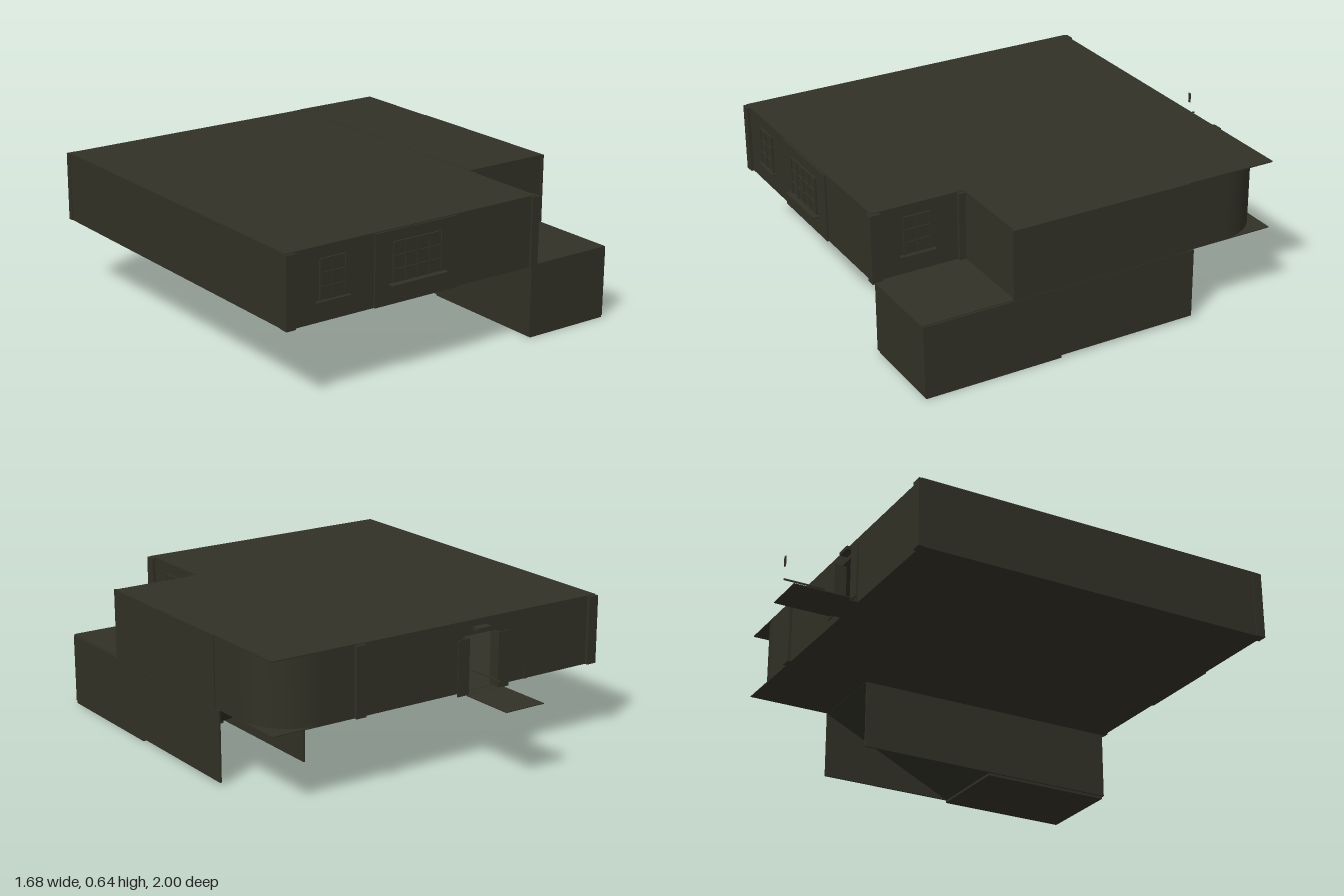
import * as THREE from 'three';

const olive = new THREE.MeshStandardMaterial({ color: 0x323126, side: THREE.DoubleSide });
olive.name = 'darkOlive';

// Box given by its extents
function slab(parent, name, x0, x1, y0, y1, z0, z1) {
  const m = new THREE.Mesh(new THREE.BoxGeometry(x1 - x0, y1 - y0, z1 - z0), olive);
  m.position.set((x0 + x1) / 2, (y0 + y1) / 2, (z0 + z1) / 2);
  m.name = name;
  parent.add(m);
  return m;
}

// Window facing +z, base at the origin, with glazing bars and a sill
function makeWindow(name, w, h, cols, rows, sillDepth) {
  const g = new THREE.Group();
  g.name = name;
  const t = 0.003;
  slab(g, 'pane', -w / 2, w / 2, 0, h, 0, 0.003);
  for (let i = 0; i <= cols; i++) {
    const x = -w / 2 + (w * i) / cols;
    slab(g, 'uprightBar', x - t, x + t, 0, h, 0, 0.008);
  }
  for (let j = 0; j <= rows; j++) {
    const y = (h * j) / rows;
    slab(g, 'crossBar', -w / 2, w / 2, y - t, y + t, 0, 0.008);
  }
  slab(g, 'sill', -w / 2 - 0.02, w / 2 + 0.02, -0.005, 0.002, 0, sillDepth);
  return g;
}

export function createModel() {
  const house = new THREE.Group();
  house.name = 'house';
  const Y0 = 0.325, Y1 = 0.635, T = 0.008;

  // Main hall
  const main = new THREE.Group();
  main.name = 'mainHall';
  house.add(main);
  slab(main, 'roof', -0.84, 0.412, Y1 - 0.006, Y1, -0.7, 0.962);
  slab(main, 'floor', -0.84, 0.412, Y0, Y0 + 0.006, -0.7, 0.962);
  slab(main, 'frontWall', -0.84, 0.412, Y0, Y1, 0.962 - T, 0.962);
  slab(main, 'rightWall', -0.84, -0.84 + T, Y0, Y1, -0.7, 0.962);
  slab(main, 'leftWall', 0.412 - T, 0.412, Y0, Y1, 0.545, 0.962);

  // Back wall around the doorway
  const wall = new THREE.Shape();
  wall.moveTo(-0.84, Y0).lineTo(-0.28, Y0).lineTo(-0.28, 0.57).lineTo(-0.12, 0.57)
    .lineTo(-0.12, Y0).lineTo(0.412, Y0).lineTo(0.412, Y1).lineTo(-0.84, Y1).closePath();
  const backWall = new THREE.Mesh(
    new THREE.ExtrudeGeometry(wall, { depth: T, bevelEnabled: false }), olive);
  backWall.position.z = -0.7;
  backWall.name = 'backWall';
  main.add(backWall);

  // Corner posts and panel joints
  for (const x of [-0.82, 0.41]) {
    slab(main, 'backPost', x - 0.024, x + 0.024, Y0, Y1 - 0.004, -0.715, -0.69);
  }
  slab(main, 'frontPost', -0.844, -0.8, Y0, Y1 - 0.004, 0.93, 0.975);
  slab(main, 'frontPost', 0.39, 0.428, Y0, Y1 - 0.004, 0.925, 0.972);
  slab(main, 'innerPost', 0.405, 0.428, Y0, Y1 - 0.004, 0.545, 0.575);
  slab(main, 'frontPanel', -0.42, -0.005, Y0, Y1 - 0.004, 0.96, 0.97);

  // Windows
  const small = makeWindow('smallWindow', 0.12, 0.17, 2, 3, 0.018);
  small.position.set(-0.62, 0.412, 0.962);
  const wide = makeWindow('wideWindow', 0.24, 0.17, 4, 3, 0.03);
  wide.position.set(-0.212, 0.412, 0.97);
  const side = makeWindow('sideWindow', 0.12, 0.17, 2, 3, 0.02);
  side.rotation.y = Math.PI / 2;
  side.position.set(0.412, 0.412, 0.76);
  house.add(small, wide, side);

  // Back entrance: jambs, side leaves, landing, rail and lamp
  const entry = new THREE.Group();
  entry.name = 'backEntrance';
  house.add(entry);
  for (const s of [-1, 1]) {
    const a = -0.2 + s * 0.08, b = -0.2 + s * 0.135;
    slab(entry, 'doorLeaf', Math.min(a, b), Math.max(a, b), Y0, 0.57, -0.735, -0.73);
    slab(entry, 'doorJamb', a - 0.003, a + 0.003, Y0, 0.57, -0.735, -0.68);
  }
  slab(entry, 'threshold', -0.28, -0.12, Y0, Y0 + 0.004, -0.74, -0.69);
  slab(entry, 'landing', -0.305, -0.105, Y0, Y0 + 0.003, -1, -0.74);
  slab(entry, 'handrail', -0.108, -0.102, 0.444, 0.45, -0.96, -0.77);
  slab(entry, 'stub', -0.207, -0.193, 0.455, 0.5, -1, -0.996);
  slab(entry, 'lamp', -0.235, -0.165, 0.59, 0.605, -0.735, -0.7);

  // Side wing with one rounded back corner under square roof and floor plates
  const wing = new THREE.Group();
  wing.name = 'sideWing';
  house.add(wing);
  slab(wing, 'roof', 0.412, 0.825, Y1 - 0.003, Y1 + 0.002, -0.7, 0.545);
  slab(wing, 'floor', 0.412, 0.825, Y0, Y0 + 0.004, -0.7, 0.545);
  slab(wing, 'frontWall', 0.412, 0.825, Y0, Y1, 0.545 - T, 0.545);
  const R = 0.23;
  slab(wing, 'leftWall', 0.825 - T, 0.825, Y0, Y1, -0.7 + R, 0.545);
  slab(wing, 'backWall', 0.412, 0.825 - R, Y0, Y1, -0.7, -0.7 + T);
  const curve = new THREE.Mesh(
    new THREE.CylinderGeometry(R, R, Y1 - Y0, 24, 1, true, Math.PI / 2, Math.PI / 2), olive);
  curve.position.set(0.825 - R, (Y0 + Y1) / 2, -0.7 + R);
  curve.name = 'roundedCorner';
  wing.add(curve);
  slab(wing, 'wallPanel', 0.82, 0.83, Y0, Y1 + 0.002, -0.275, 0.552);

  // Lower level: side walls, front wall, terrace roof, open underneath the ramp
  const lower = new THREE.Group();
  lower.name = 'lowerLevel';
  house.add(lower);
  const B = 0.012;
  slab(lower, 'leftWall', 0.832 - T, 0.832, B, Y0, -0.31, 0.955);
  slab(lower, 'rightWall', 0.412, 0.412 + T, B, Y0, -0.31, 0.955);
  slab(lower, 'frontWall', 0.412, 0.832, B, Y0, 0.955 - T, 0.955);
  slab(lower, 'terrace', 0.412, 0.825, Y0 - 0.004, Y0 + 0.004, 0.545, 0.96);
  slab(lower, 'floor', 0.422, 0.832, 0, 0.014, 0.33, 0.95);

  // Ramp rising towards the back
  const dz = 0.64, dy = Y0 - B;
  const ramp = new THREE.Mesh(
    new THREE.BoxGeometry(0.404, 0.004, Math.hypot(dz, dy)), olive);
  ramp.rotation.x = Math.atan2(dy, dz);
  ramp.position.set(0.622, (Y0 + B) / 2, 0.01);
  ramp.name = 'ramp';
  lower.add(ramp);

  return house;
}
